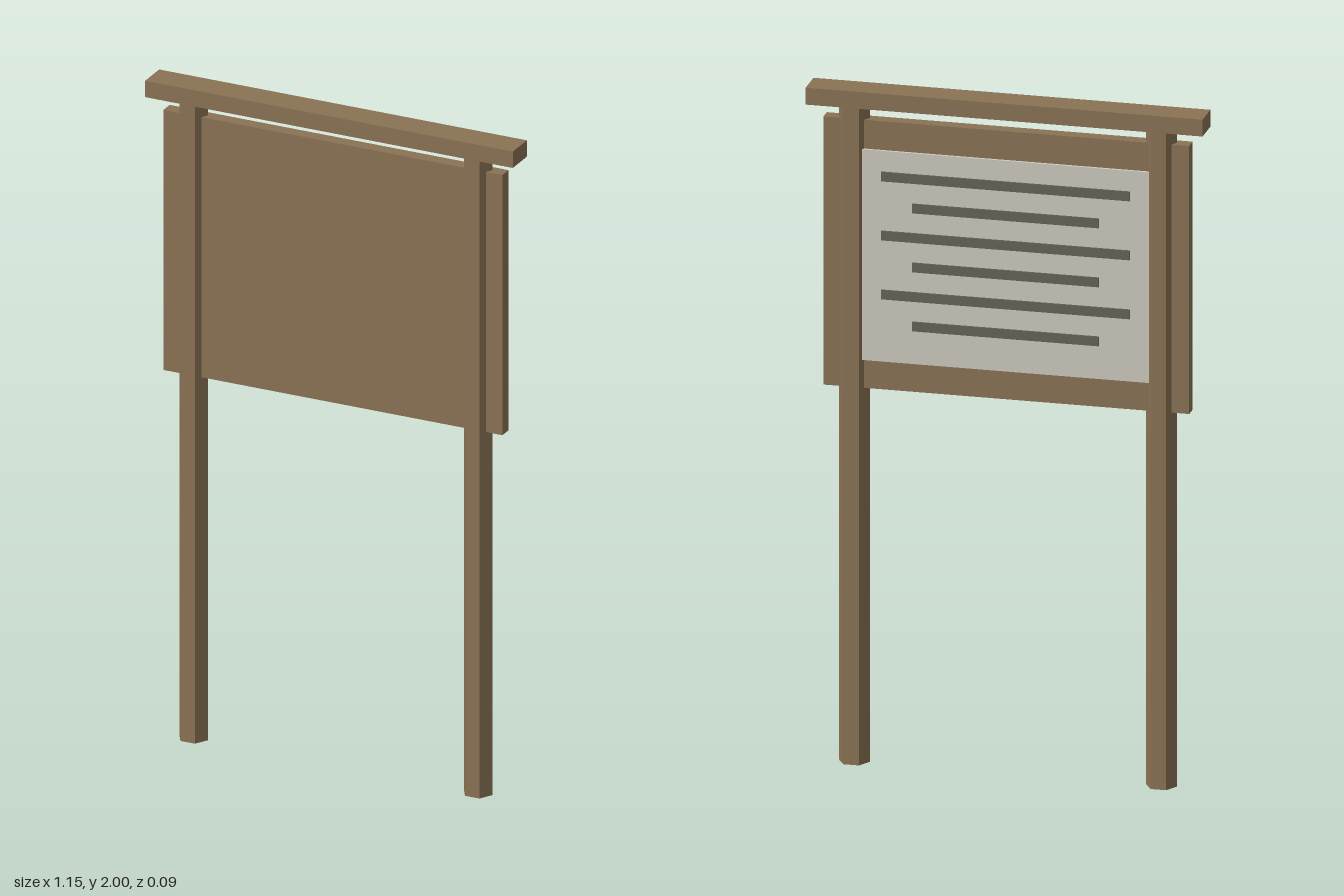
import * as THREE from 'three';

const material = (name, color) => {
  const m = new THREE.MeshStandardMaterial({ color });
  m.name = name;
  return m;
};

export function createModel() {
  const wood = material('wood', 0x8b7355);
  const paper = material('paper', 0xcfccc0);
  const ink = material('ink', 0x666459);

  const model = new THREE.Group();
  model.name = 'noticeBoard';

  const add = (name, geometry, mat, x, y, z) => {
    const mesh = new THREE.Mesh(geometry, mat);
    mesh.name = name;
    mesh.position.set(x, y, z);
    model.add(mesh);
    return mesh;
  };
  const box = (name, w, h, d, mat, x, y, z) =>
    add(name, new THREE.BoxGeometry(w, h, d), mat, x, y, z);

  // Six-sided posts, with a flat side towards the front
  const postGeometry = new THREE.CylinderGeometry(0.045, 0.045, 1.95, 6).toNonIndexed();
  postGeometry.rotateY(Math.PI / 6);
  postGeometry.computeVertexNormals();
  for (const side of [-1, 1]) {
    add(side > 0 ? 'leftPost' : 'rightPost', postGeometry, wood, side * 0.445, 0.975, 0);
  }

  // Top beam and main board
  box('topBeam', 1.15, 0.05, 0.09, wood, 0, 1.975, 0);
  box('board', 1.06, 0.795, 0.04, wood, 0, 1.5125, 0);

  // Notice sheet on the back of the board
  box('noticeSheet', 0.84, 0.625, 0.008, paper, 0, 1.5125, -0.024);

  // Alternating long and short bars standing for written lines
  for (let i = 0; i < 6; i++) {
    const width = i % 2 === 0 ? 0.72 : 0.54;
    box('writtenLine' + (i + 1), width, 0.028, 0.006, ink, 0, 1.75 - i * 0.0875, -0.03);
  }

  return model;
}
